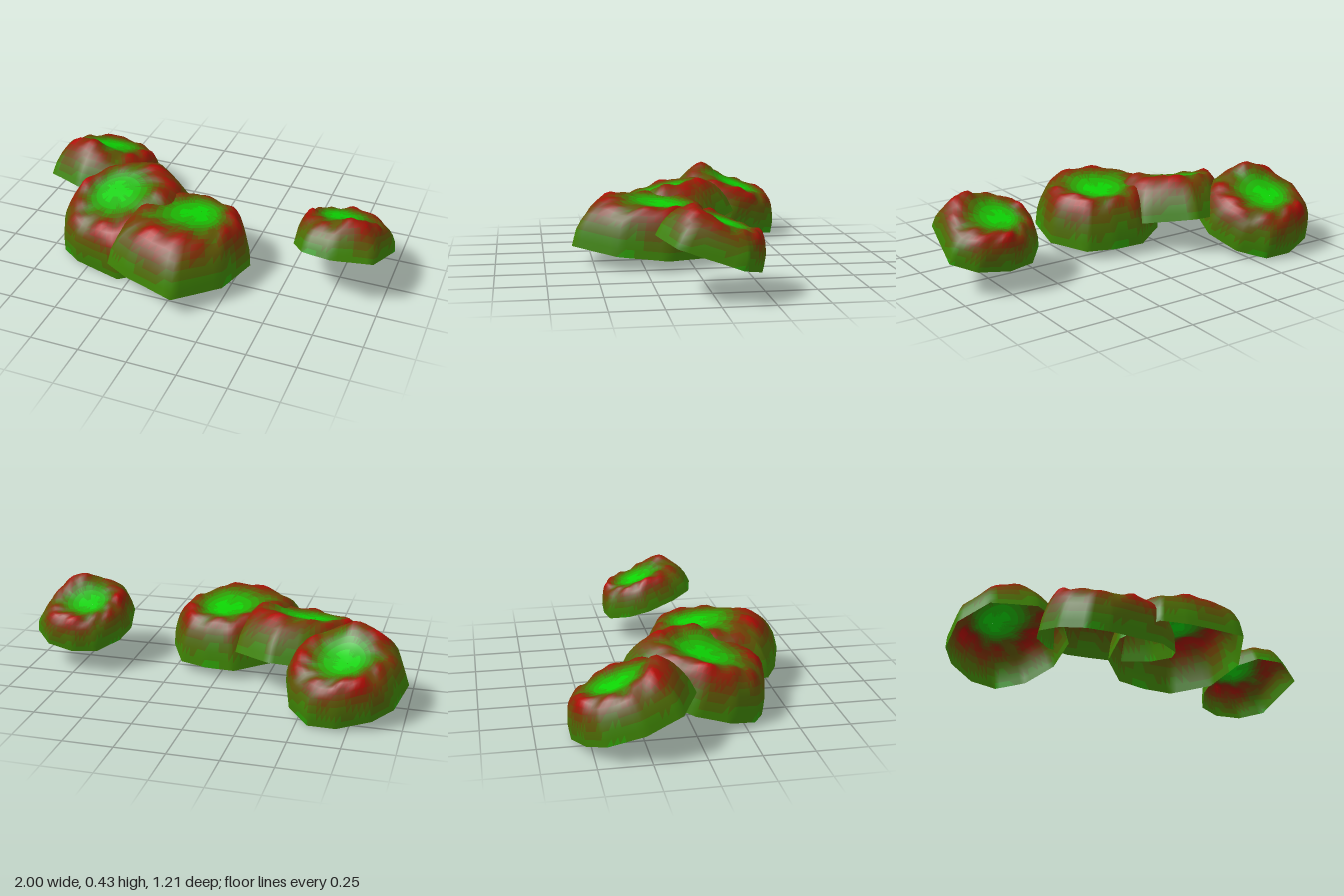
import * as THREE from 'three';

// Green to red ramp shared by all mounds
const SHADES = 12;
const ramp = Array.from({ length: SHADES }, (_, i) => {
  const t = i / (SHADES - 1);
  return new THREE.MeshStandardMaterial({
    color: new THREE.Color().setRGB(0.05 + 0.7 * t, 0.8 * (1 - t) ** 1.6 + 0.03, 0.015, THREE.SRGBColorSpace),
    side: THREE.DoubleSide,
  });
});

// Dome section: [share of rim radius, share of height, redness]
const PROFILE = [
  [1, 0, 0.24], [0.985, 0.17, 0.28], [0.965, 0.37, 0.34], [0.92, 0.57, 0.42],
  [0.87, 0.73, 0.52], [0.81, 0.85, 0.64], [0.74, 0.94, 0.7], [0.67, 0.99, 0.66],
  [0.59, 1, 0.55], [0.51, 0.99, 0.4], [0.43, 0.97, 0.26], [0.34, 0.95, 0.14],
  [0.24, 0.94, 0.06], [0.13, 0.94, 0.02], [0.005, 0.94, 0],
];
const SUB = 6;

const wave = (a, r, s) =>
  0.5 * Math.sin(3 * a + s) + 0.35 * Math.sin(7 * a + 2.3 * s + 9 * r) + 0.3 * Math.sin(11 * a - s * 1.7 - 14 * r);

// Open-bottomed cratered mound on a tilted rim
function mound({ name, center, slope, height, outline, roundness, crater, peak, lift, seed }) {
  const [cx, cy, cz] = center;
  const [sx, sz] = slope;
  const normal = new THREE.Vector3(-sx, 1, -sz).normalize();
  const rim = [];
  outline.forEach(([x, z], i) => {
    const [x2, z2] = outline[(i + 1) % outline.length];
    for (let k = 0; k < SUB; k++) rim.push([x + ((x2 - x) * k) / SUB - cx, z + ((z2 - z) * k) / SUB - cz]);
  });
  const n = rim.length;
  const mean = rim.reduce((sum, [x, z]) => sum + Math.hypot(x, z), 0) / n;
  const pos = [];
  const red = [];
  for (const [r, h, tone] of PROFILE) {
    // Angular at the rim, rounder higher up
    const round = roundness * Math.min(1, (1 - r) * 3);
    for (const [dx, dz] of rim) {
      const a = Math.atan2(dz, dx);
      const w = wave(a, r, seed);
      const s = r * THREE.MathUtils.lerp(1, mean / Math.hypot(dx, dz), round);
      const inward = (1 - r) ** 1.5;
      const x = dx * s + crater[0] * inward, z = dz * s + crater[1] * inward;
      // Bumpy crest with one higher peak
      const crest = Math.exp(-(((r - 0.7) / 0.18) ** 2));
      const d2 = (cx + x - peak[0]) ** 2 + (cz + z - peak[1]) ** 2;
      const up = h * height + 0.016 * w * crest + lift * h * Math.exp(-d2 / 0.01);
      pos.push(cx + x + normal.x * up, cy + sx * x + sz * z + normal.y * up, cz + z + normal.z * up);
      red.push(tone + 0.28 * w * (crest + 0.1));
    }
  }
  // Triangles sorted by shade, one group for each
  const buckets = ramp.map(() => []);
  const tri = (a, b, c) => {
    const t = THREE.MathUtils.clamp((red[a] + red[b] + red[c]) / 3, 0, 1);
    buckets[Math.round(t * (SHADES - 1))].push(a, b, c);
  };
  for (let i = 0; i < PROFILE.length - 1; i++) {
    for (let j = 0; j < n; j++) {
      const k = (j + 1) % n;
      const a = i * n + j, b = i * n + k, c = a + n, d = b + n;
      tri(a, c, b);
      tri(b, c, d);
    }
  }
  const geo = new THREE.BufferGeometry();
  geo.setAttribute('position', new THREE.Float32BufferAttribute(pos, 3));
  geo.setIndex(buckets.flat());
  let start = 0;
  buckets.forEach((b, i) => {
    if (b.length) geo.addGroup(start, b.length, i);
    start += b.length;
  });
  geo.computeVertexNormals();
  const mesh = new THREE.Mesh(geo, ramp);
  mesh.name = name;
  return mesh;
}

// Rim outlines run from +x round through +z, as [x, z]
const MOUNDS = [
  {
    name: 'backRightMound', center: [-0.69, 0.125, -0.29], slope: [-0.08, 0.34], height: 0.195, seed: 1.3,
    roundness: 1, crater: [-0.04, -0.05], peak: [-0.75, -0.13], lift: 0.045,
    outline: [[-0.4, -0.29], [-0.44, -0.12], [-0.55, -0.03], [-0.73, 0], [-0.94, -0.1], [-1, -0.28],
      [-0.95, -0.45], [-0.86, -0.53], [-0.7, -0.585], [-0.56, -0.57], [-0.45, -0.46]],
  },
  {
    name: 'middleMound', center: [-0.39, 0.1, 0.07], slope: [0.06, -0.26], height: 0.225, seed: 4.1,
    roundness: 0.9, crater: [-0.07, -0.05], peak: [-0.2, 0.06], lift: 0.035,
    outline: [[-0.05, 0.06], [-0.08, 0.25], [-0.16, 0.36], [-0.31, 0.43], [-0.57, 0.36], [-0.67, 0.3],
      [-0.73, 0.17], [-0.72, 0], [-0.62, -0.15], [-0.46, -0.27], [-0.31, -0.3], [-0.1, -0.13]],
  },
  {
    name: 'frontMound', center: [-0.03, 0.085, 0.22], slope: [-0.04, 0.07], height: 0.245, seed: 2.6,
    roundness: 0.6, crater: [0.05, -0.1], peak: [0, 0.32], lift: 0.015,
    outline: [[0.31, 0.14], [0.25, 0.4], [0.06, 0.61], [-0.22, 0.52], [-0.35, 0.45], [-0.38, 0.2],
      [-0.28, 0], [-0.09, -0.13], [0.07, -0.11], [0.21, -0.06]],
  },
  {
    name: 'leftMound', center: [0.75, 0.21, 0.01], slope: [-0.01, 0.33], height: 0.155, seed: 5.4,
    roundness: 1, crater: [-0.06, -0.04], peak: [0.82, 0.16], lift: 0.035,
    outline: [[1, -0.1], [0.95, 0.19], [0.75, 0.265], [0.6, 0.23], [0.53, 0.13], [0.5, -0.02],
      [0.53, -0.12], [0.62, -0.22], [0.75, -0.24], [0.9, -0.2]],
  },
];

export function createModel() {
  const group = new THREE.Group();
  group.name = 'crateredMounds';
  for (const m of MOUNDS) group.add(mound(m));
  return group;
}
